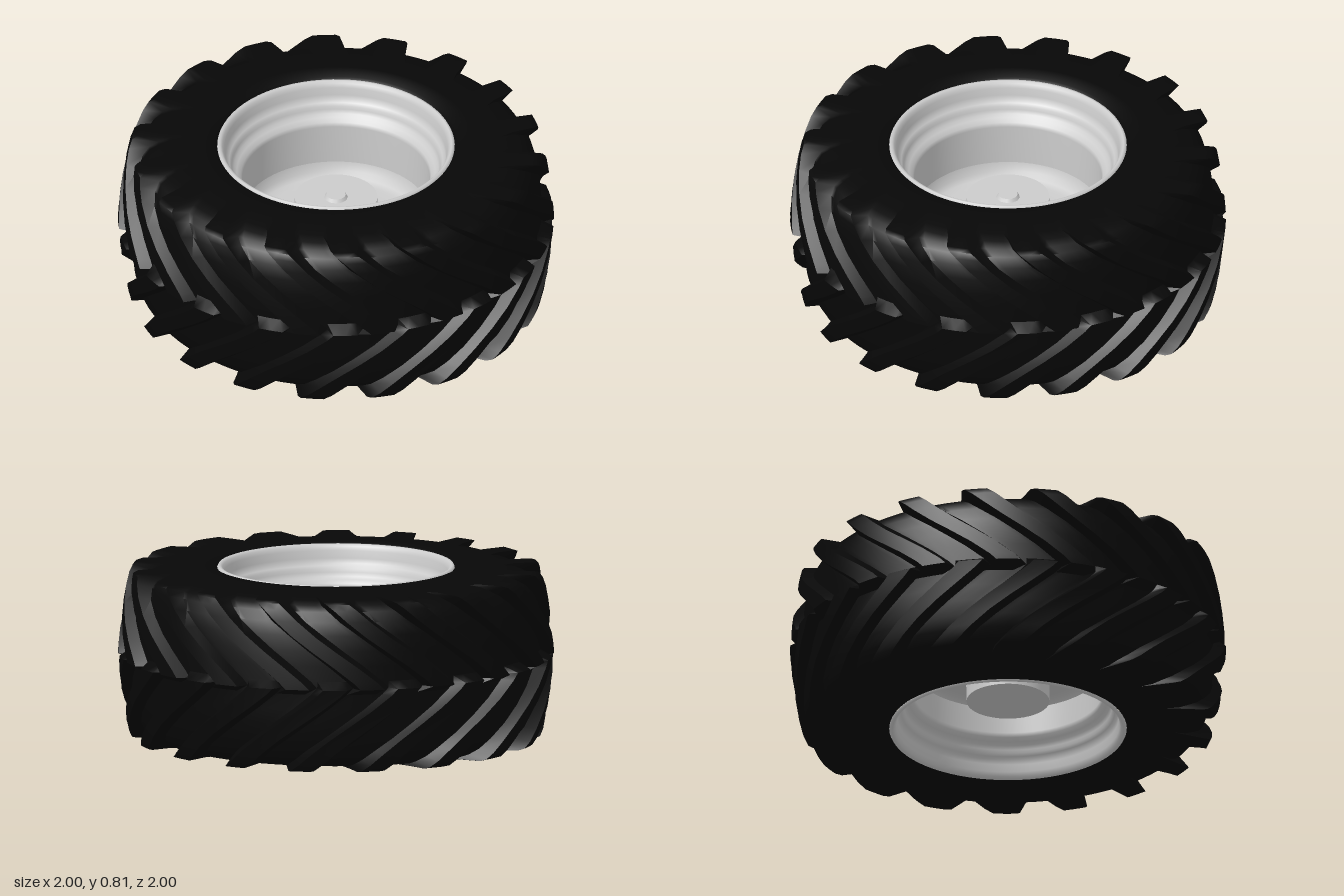
import * as THREE from 'three';
import { toCreasedNormals } from 'three/addons/utils/BufferGeometryUtils.js';

const MID = 0.405; // height of the wheel's centre plane
const PITCHES = 18; // lugs on each half of the tread

const rubber = new THREE.MeshStandardMaterial({ color: 0x070707 });
const steel = new THREE.MeshStandardMaterial({ color: 0xcccccc, side: THREE.DoubleSide });

// Half section from tread centre to bead: carcass radius, carcass height,
// lug radius, lug height, sweep angle of the lug
const HALF = [
  [0.944, 0.03, 0.998, 0.03, 0.03],
  [0.942, 0.10, 0.992, 0.10, 0.12],
  [0.937, 0.17, 0.984, 0.17, 0.22],
  [0.927, 0.24, 0.974, 0.24, 0.32],
  [0.911, 0.30, 0.962, 0.31, 0.41],
  [0.885, 0.345, 0.950, 0.36, 0.47],
  [0.855, 0.370, 0.937, 0.388, 0.51],
  [0.815, 0.386, 0.912, 0.396, 0.53],
  [0.765, 0.395, 0.815, 0.398, 0.56],
  [0.700, 0.402, 0.705, 0.402, 0.58],
  [0.640, 0.405, 0.640, 0.405, 0.59],
  [0.560, 0.404, 0.560, 0.404, 0.59],
  [0.543, 0.390, 0.543, 0.390, 0.59],
  [0.530, 0.340, 0.530, 0.340, 0.59],
];

// Tyre carcass with staggered, swept lugs raised from one ring grid
function tyreGeometry() {
  const mirror = ([cr, cy, lr, ly, s]) => [cr, -cy, lr, -ly, s];
  const rows = [...HALF.map(mirror).reverse(), [0.945, 0, 1, 0, 0], ...HALF];
  const phases = [0, 0.09, 0.25, 0.41, 0.5, 0.59, 0.75, 0.91];
  const cols = PITCHES * phases.length;
  const raised = (u, centre) =>
    THREE.MathUtils.clamp((0.25 - Math.abs(u - centre)) / 0.09, 0, 1);
  const pos = [], index = [];
  rows.forEach(([cr, cy, lr, ly, sweep], i) => {
    for (let j = 0; j < cols; j++) {
      const u = phases[j % phases.length];
      const pitch = Math.floor(j / phases.length);
      const upper = cy > -0.01 ? raised(u, 0.25) : 0;
      const lower = cy < 0.01 ? raised(u, 0.75) : 0;
      const h = Math.max(upper, lower);
      const r = cr + (lr - cr) * h;
      const a = ((pitch + u - 0.2) / PITCHES) * Math.PI * 2 - sweep;
      pos.push(r * Math.sin(a), MID + cy + (ly - cy) * h, r * Math.cos(a));
      if (i === rows.length - 1) continue;
      const k = (j + 1) % cols;
      const p = i * cols + j, q = i * cols + k;
      index.push(p, q, q + cols, p, q + cols, p + cols);
    }
  });
  const g = new THREE.BufferGeometry();
  g.setAttribute('position', new THREE.Float32BufferAttribute(pos, 3));
  g.setIndex(index);
  return toCreasedNormals(g, 0.9);
}

function add(parent, name, geometry, material, y = 0) {
  const mesh = new THREE.Mesh(geometry, material);
  mesh.name = name;
  mesh.position.y = y;
  parent.add(mesh);
  return mesh;
}

function lathe(points) {
  return new THREE.LatheGeometry(points.map(([r, y]) => new THREE.Vector2(r, y)), 72);
}

export function createModel() {
  const wheel = new THREE.Group();
  wheel.name = 'wheel';
  add(wheel, 'tyre', tyreGeometry(), rubber);

  // Stepped rim barrel, symmetric about the centre plane
  const half = [
    [0.430, 0.215], [0.436, 0.235], [0.455, 0.250], [0.470, 0.262], [0.478, 0.280],
    [0.480, 0.295], [0.490, 0.308], [0.502, 0.318], [0.507, 0.340], [0.512, 0.375],
    [0.520, 0.394], [0.530, 0.403], [0.540, 0.403], [0.545, 0.393],
  ];
  const profile = [...half.map(([r, y]) => [r, -y]).reverse(), ...half];
  add(wheel, 'rim', lathe(profile), steel, MID);

  // Wheel disc with rounded corners where it meets the barrel
  add(wheel, 'discTop', lathe([
    [0.15, 0.355], [0.28, 0.355], [0.36, 0.357], [0.395, 0.366], [0.418, 0.388], [0.429, 0.43],
  ]), steel);
  add(wheel, 'discUnderside', lathe([
    [0.15, 0.335], [0.30, 0.335], [0.38, 0.335], [0.412, 0.328], [0.429, 0.31],
  ]), steel);

  // Hub drum passing through the disc, with a small axle cap
  add(wheel, 'hub', new THREE.CylinderGeometry(0.19, 0.19, 0.365, 48), steel, 0.3325);
  add(wheel, 'axleCap', new THREE.CylinderGeometry(0.045, 0.055, 0.016, 12), steel, 0.522);

  // Ring of bolts under the disc
  const boltGeometry = new THREE.CylinderGeometry(0.016, 0.016, 0.025, 6);
  for (let i = 0; i < 10; i++) {
    const a = ((i + 0.5) / 10) * Math.PI * 2;
    const bolt = add(wheel, 'bolt', boltGeometry, steel, 0.325);
    bolt.position.x = 0.27 * Math.sin(a);
    bolt.position.z = 0.27 * Math.cos(a);
  }
  return wheel;
}
